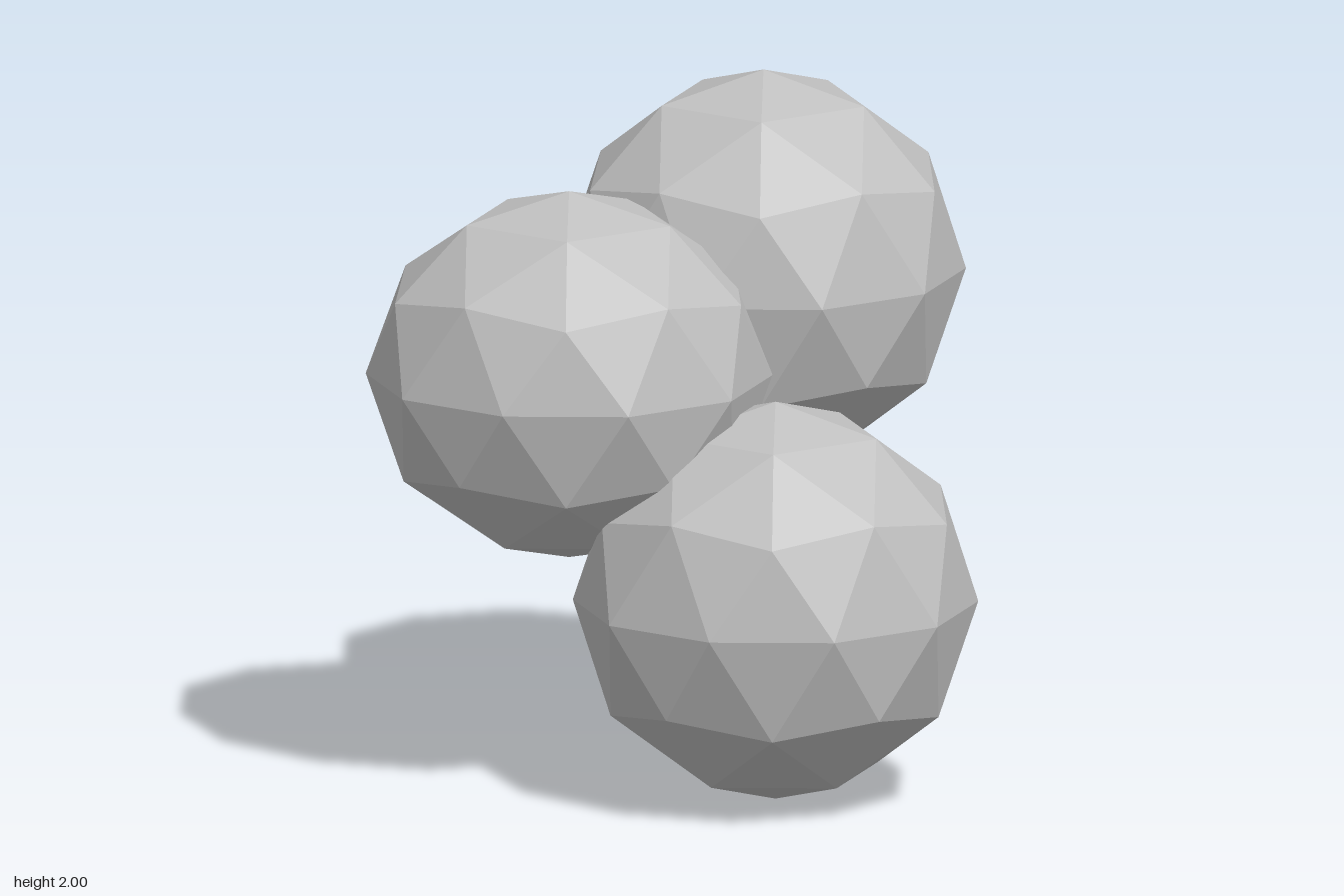
import * as THREE from 'three';

// Faceted ball with a corner at each pole and an upper-ring corner on +x
function facetedBall() {
  const geometry = new THREE.IcosahedronGeometry(1, 1);
  geometry.rotateX(-Math.atan((1 + Math.sqrt(5)) / 2));
  geometry.rotateY(Math.PI / 2);
  geometry.computeVertexNormals(); // unshared corners give flat facets
  return geometry;
}

export function createModel() {
  const group = new THREE.Group();
  group.name = 'ballCluster';
  const grey = new THREE.MeshStandardMaterial({ color: 0xc0c0c0 });
  grey.name = 'grey';
  const geometry = facetedBall();

  // Three overlapping balls: name, centre, radii
  const balls = [
    ['lowerBall', [0.314, 0.592, 0.334], [0.586, 0.588, 0.585]],
    ['middleBall', [-0.318, 1.214, 0.332], [0.588, 0.542, 0.585]],
    ['upperBall', [0.045, 1.415, -0.335], [0.585, 0.585, 0.585]],
  ];
  for (const [name, centre, radii] of balls) {
    const ball = new THREE.Mesh(geometry, grey);
    ball.name = name;
    ball.position.set(...centre);
    ball.scale.set(...radii);
    group.add(ball);
  }
  return group;
}
